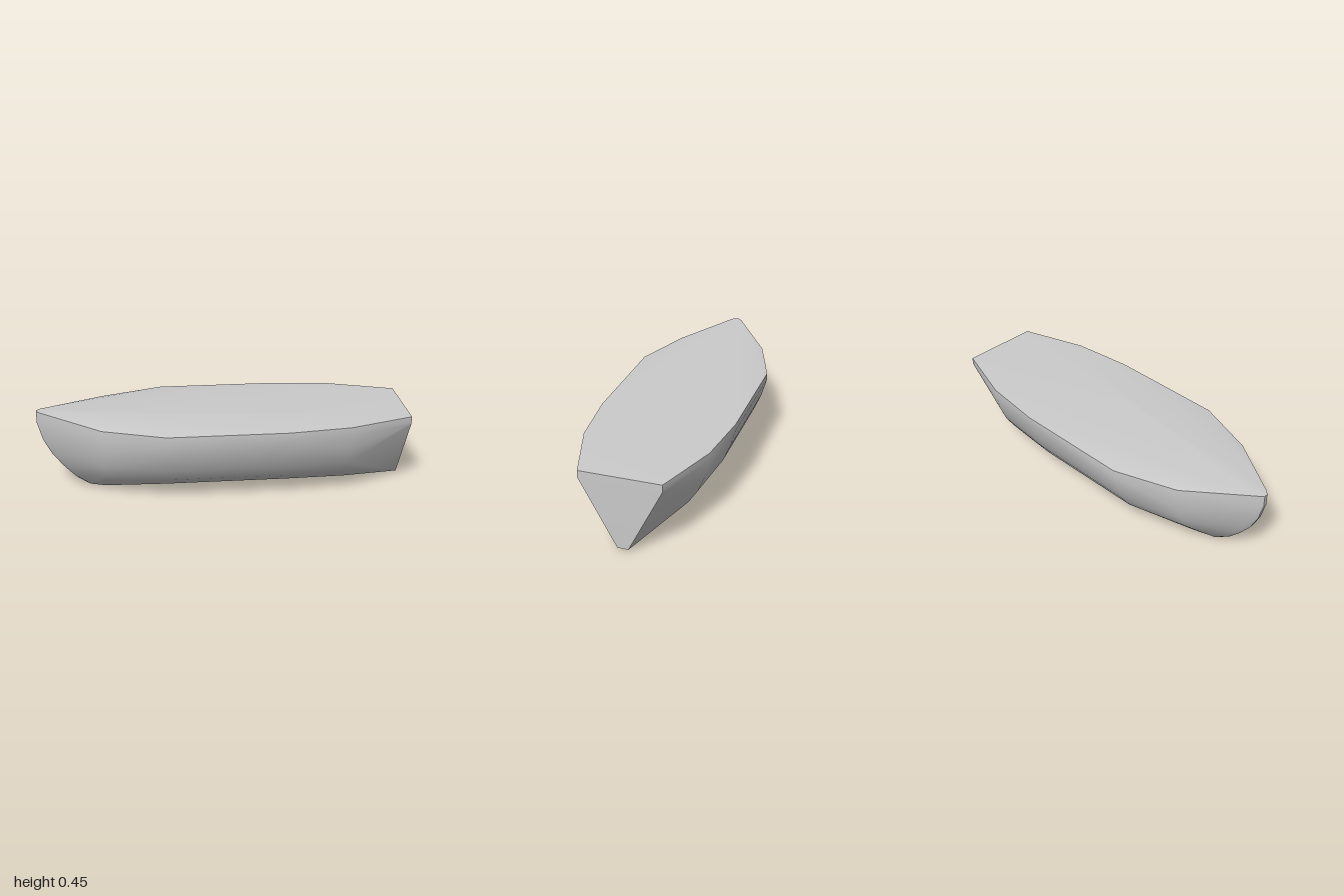
import * as THREE from 'three';
import { ConvexGeometry } from 'three/addons/geometries/ConvexGeometry.js';
import { toCreasedNormals } from 'three/addons/utils/BufferGeometryUtils.js';

// Heights shared by the hull ribs, from the deck edge down to the keel
const levels = [0.423, 0.385, 0.285, 0.2, 0.127, 0.07, 0.003];

// Half-widths of each rib at those heights
const ribs = [
  { x: -0.65, widths: [0.252, 0.252, 0.235, 0.205, 0.165, 0.11, 0.028] },
  { x: -0.32, widths: [0.366, 0.366, 0.337, 0.301, 0.25, 0.176, 0.028] },
  { x: 0.32, widths: [0.366, 0.366, 0.337, 0.301, 0.25, 0.176, 0.028] },
  { x: 0.65, widths: [0.328, 0.328, 0.305, 0.27, 0.222, 0.168, 0.028] },
];

// Curved stem at the bow: x, y
const stem = [
  [-1, 0.449], [-1, 0.385], [-0.973, 0.285], [-0.93, 0.2],
  [-0.872, 0.125], [-0.81, 0.06], [-0.75, 0.018],
];

// Transom corners: x, y, half-width
const transom = [[1, 0.423, 0.212], [1, 0.385, 0.212], [0.985, 0.018, 0.028]];

export function createModel() {
  const points = [];
  const addPair = (x, y, z) => points.push(new THREE.Vector3(x, y, z), new THREE.Vector3(x, y, -z));

  for (const { x, widths } of ribs) widths.forEach((z, i) => addPair(x, levels[i], z));
  for (const [x, y] of stem) {
    addPair(x, y, 0.01);
    addPair(x + 0.02, y, 0.03);
  }
  for (const [x, y, z] of transom) addPair(x, y, z);

  // Closed hull skin with a sharp deck edge and transom
  const geometry = toCreasedNormals(new ConvexGeometry(points), THREE.MathUtils.degToRad(25));
  const hull = new THREE.Mesh(geometry, new THREE.MeshStandardMaterial({ color: 0xcccccc }));
  hull.name = 'boatHull';

  const group = new THREE.Group();
  group.name = 'boat';
  group.add(hull);
  return group;
}
